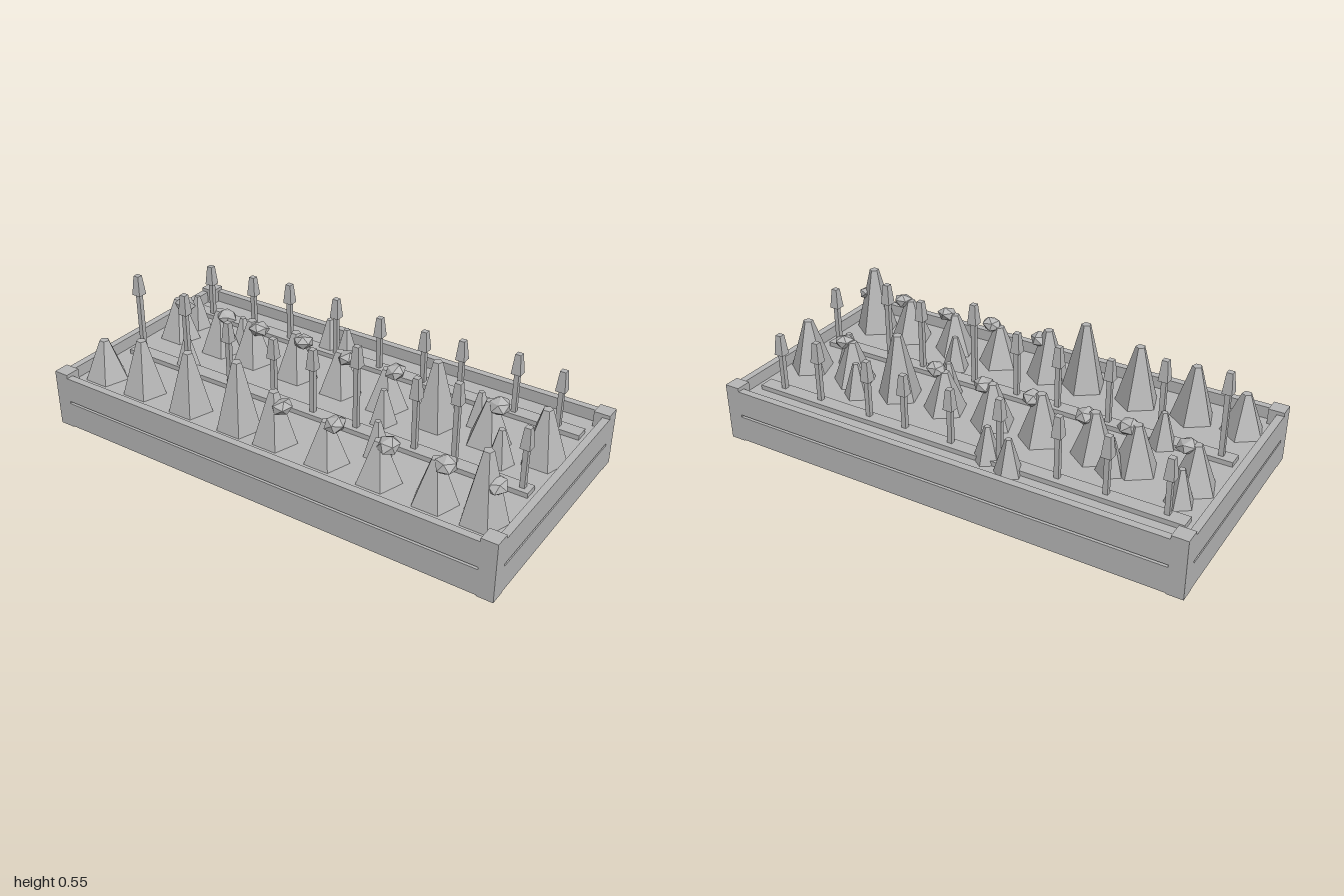
import * as THREE from 'three';

export function createModel() {
  const model = new THREE.Group();
  const grey = new THREE.MeshStandardMaterial({ color: 0xb8b8b8, flatShading: true });
  grey.name = 'plain grey';

  const SOIL = 0.18;
  const add = (name, geometry, x, y, z, parent = model) => {
    const mesh = new THREE.Mesh(geometry, grey);
    mesh.name = name;
    mesh.position.set(x, y, z);
    parent.add(mesh);
    return mesh;
  };
  const box = (name, w, h, d, x, y, z) =>
    add(name, new THREE.BoxGeometry(w, h, d), x, y + h / 2, z);

  // Planter: corner posts, two planks per side with a gap between them
  for (const sx of [-1, 1]) for (const sz of [-1, 1])
    box('cornerPost', 0.065, 0.245, 0.065, sx * 0.9675, 0, sz * 0.4675);
  for (const [y, h] of [[0.004, 0.109], [0.123, 0.107]]) {
    for (const s of [-1, 1]) {
      box('longPlank', 1.87, h, 0.03, 0, y, s * 0.485);
      box('endPlank', 0.03, h, 0.87, s * 0.985, y, 0);
    }
  }

  // Soil with two raised ridges
  box('soil', 1.94, SOIL - 0.015, 0.94, 0, 0.015, 0);
  for (const z of [-0.34, 0.105]) box('soilRidge', 1.865, 0.03, 0.06, 0, SOIL - 0.01, z);

  // Five-sided tapered bush, one corner pointing to the back
  const bush = (name, x, z, top, rBottom, rTop) => {
    const h = top - SOIL + 0.01;
    add(name, new THREE.CylinderGeometry(rTop, rBottom, h, 5, 1, false, Math.PI),
      x, top - h / 2, z);
  };

  // Faceted, flattened fruit leaning out of a bush
  const fruit = (x, y, z, turn) => {
    const mesh = add('fruit', new THREE.IcosahedronGeometry(0.045, 0), x, y, z);
    mesh.scale.y = 0.7;
    mesh.rotation.set(0.1, turn, -0.25);
  };

  // Rows of bushes: x, top height, has a fruit
  const bushRows = [
    [0.329, [[-0.877, 0.35, 0], [-0.67, 0.41, 0], [-0.43, 0.43, 0], [-0.19, 0.465, 0],
      [-0.02, 0.395, 1], [0.215, 0.35, 1], [0.44, 0.35, 1], [0.67, 0.36, 1], [0.86, 0.465, 1]]],
    [-0.115, [[-0.86, 0.36, 1], [-0.63, 0.37, 1], [-0.46, 0.37, 1], [-0.235, 0.38, 1],
      [-0.02, 0.36, 1], [0.2, 0.35, 1], [0.42, 0.452, 0], [0.65, 0.36, 1], [0.875, 0.4, 0]]],
  ];
  for (const [z, plants] of bushRows) {
    plants.forEach(([x, top, hasFruit], i) => {
      bush('bush', x, z, top, 0.094, 0.02);
      if (hasFruit) fruit(x + 0.038, 0.342 + 0.008 * (i % 2), z + 0.002, i * 0.7);
    });
  }

  // Scattered small weeds
  const weeds = [[-0.245, -0.375], [-0.135, -0.34], [-0.855, -0.233], [-0.56, -0.18], [0.567, -0.205],
    [0.25, -0.01], [0.75, -0.01], [-0.65, 0.082], [0.35, 0.193]];
  for (const [x, z] of weeds) bush('weed', x, z, 0.325, 0.06, 0.013);

  // Rows of thin square stalks with tapered heads: x, top height
  const stalkRows = [
    [0.105, [[-0.877, 0.55], [-0.63, 0.53], [-0.41, 0.47], [-0.187, 0.465], [0, 0.475],
      [0.2, 0.55], [0.457, 0.5], [0.625, 0.535], [0.9, 0.45]]],
    [-0.335, [[-0.855, 0.43], [-0.62, 0.44], [-0.425, 0.457], [-0.185, 0.455], [0.03, 0.43],
      [0.24, 0.43], [0.41, 0.44], [0.65, 0.455], [0.835, 0.44]]],
  ];
  const headGeometry = new THREE.CylinderGeometry(
    0.012 * Math.SQRT2, 0.02 * Math.SQRT2, 0.085, 4, 1, false, Math.PI / 4);
  for (const [z, stalks] of stalkRows) {
    for (const [x, top] of stalks) {
      box('stalk', 0.02, top - 0.06 - SOIL, 0.02, x, SOIL, z);
      add('stalkHead', headGeometry, x, top - 0.0425, z);
    }
  }
  return model;
}
